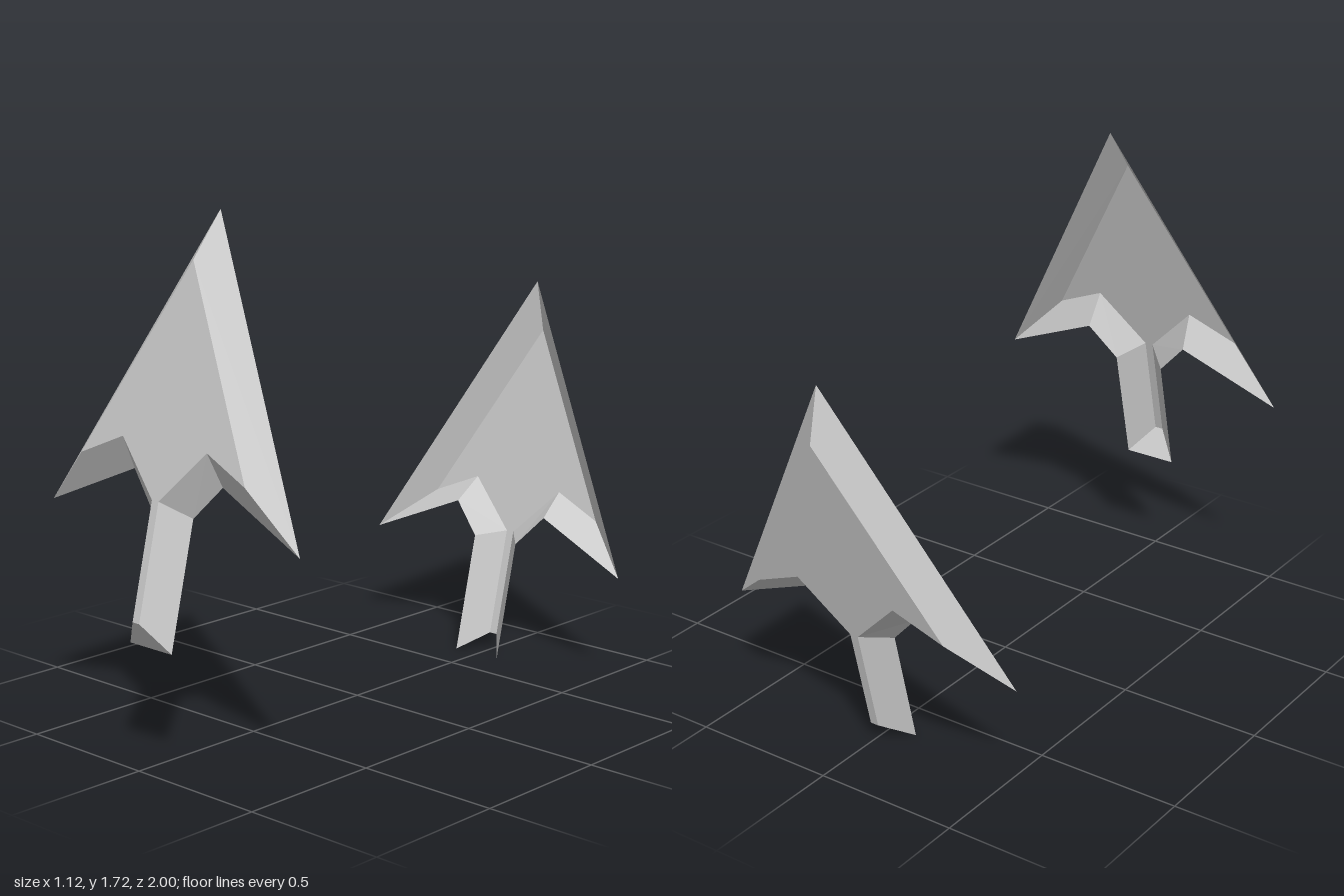
import * as THREE from 'three';

const DEPTH = 0.08;
const TILT = -0.237;

// Right half of each outline, from the tip down to the shaft end
const FACE_HALF = [[0, 0], [0.37, -0.648], [0.19, -0.571], [0.015, -0.746], [0.015, -1.127]];
const RIM_HALF = [[0, 0.169], [0.56, -0.823], [0.2, -0.669], [0.095, -0.782], [0.095, -1.205]];

// Mirror a half outline into a full loop, clockwise from the tip
function mirrorOutline(half) {
  const other = half.slice(1).reverse().map(([x, y]) => [-x, y]);
  return [...half, ...other].map(([x, y]) => new THREE.Vector2(x, y));
}

// Bevelled walls between the face outline and the wider rim
function bevelGeometry(face, rim, rimZ, openEnd) {
  const positions = [];
  const n = face.length;
  const endEdge = FACE_HALF.length - 1;
  for (let i = 0; i < n; i++) {
    if (openEnd && i === endEdge) continue;
    const j = (i + 1) % n;
    const a = [face[i].x, face[i].y, 0];
    const b = [face[j].x, face[j].y, 0];
    const c = [rim[j].x, rim[j].y, rimZ];
    const d = [rim[i].x, rim[i].y, rimZ];
    if (rimZ < 0) positions.push(...a, ...b, ...c, ...a, ...c, ...d);
    else positions.push(...a, ...c, ...b, ...a, ...d, ...c);
  }
  const geometry = new THREE.BufferGeometry();
  geometry.setAttribute('position', new THREE.Float32BufferAttribute(positions, 3));
  geometry.computeVertexNormals();
  return geometry;
}

// Hollow arrow shell: a flat face and its bevelled walls
function createArrow(name, material, rimZ, openEnd) {
  const arrow = new THREE.Group();
  arrow.name = name;
  const face = mirrorOutline(FACE_HALF);
  const rim = mirrorOutline(RIM_HALF);

  const plate = new THREE.Mesh(new THREE.ShapeGeometry(new THREE.Shape(face)), material);
  plate.name = 'arrowFace';
  const bevel = new THREE.Mesh(bevelGeometry(face, rim, rimZ, openEnd), material);
  bevel.name = 'arrowBevel';

  arrow.add(plate, bevel);
  arrow.rotation.x = TILT;
  return arrow;
}

export function createModel() {
  const model = new THREE.Group();
  model.name = 'arrowPair';
  const grey = new THREE.MeshStandardMaterial({ color: 0xcccccc, side: THREE.DoubleSide });
  grey.name = 'light grey';

  // Front arrow, face forward
  const front = createArrow('frontArrow', grey, -DEPTH, false);
  front.position.set(0, 1.575, 0.735);

  // Back arrow, face backward, shaft end open
  const back = createArrow('backArrow', grey, DEPTH, true);
  back.position.set(0, 1.153, -1);

  model.add(front, back);
  return model;
}
